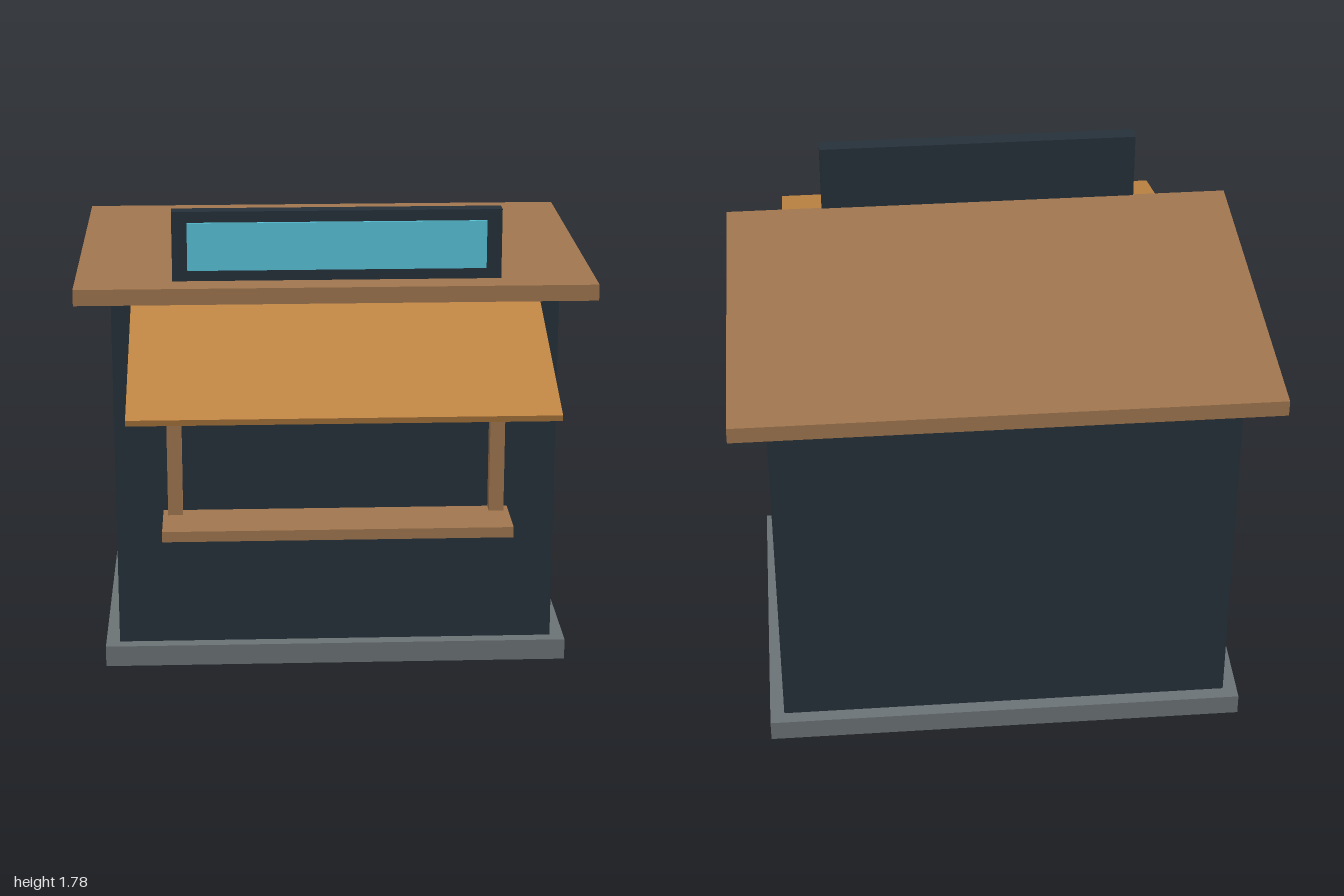
import * as THREE from 'three';

const paint = (name, color) => {
  const m = new THREE.MeshStandardMaterial({ color });
  m.name = name;
  return m;
};

export function createModel() {
  const kiosk = new THREE.Group();
  kiosk.name = 'kiosk';

  const navy = paint('dark navy', 0x25303a);
  const wood = paint('brown wood', 0xa0764f);
  const amber = paint('amber wood', 0xc08543);
  const stone = paint('grey stone', 0x6b7275);
  const cyan = paint('cyan panel', 0x58c4da);

  // Box given by its extents along each axis
  const box = (name, mat, [x0, x1], [y0, y1], [z0, z1]) => {
    const mesh = new THREE.Mesh(new THREE.BoxGeometry(x1 - x0, y1 - y0, z1 - z0), mat);
    mesh.position.set((x0 + x1) / 2, (y0 + y1) / 2, (z0 + z1) / 2);
    mesh.name = name;
    kiosk.add(mesh);
    return mesh;
  };
  const wide = (w) => [-w, w];

  // Building
  box('base', stone, wide(0.877), [0, 0.08], [-0.92, 0.32]);
  box('walls', navy, wide(0.825), [0.08, 1.44], [-0.87, 0.27]);
  box('roof', wood, wide(0.955), [1.44, 1.5], [-1, 0.395]);

  // Serving window with its frame and counter
  box('windowPanel', navy, wide(0.565), [0.62, 1.19], [0.27, 0.278]);
  for (const side of [-1, 1]) {
    const post = box(side > 0 ? 'leftPost' : 'rightPost', wood, [-0.0275, 0.0275], [0.61, 1.25], [0.27, 0.327]);
    post.position.x = side * 0.602;
  }
  box('windowHeader', wood, wide(0.575), [1.195, 1.25], [0.27, 0.327]);
  box('counter', wood, wide(0.648), [0.57, 0.61], [0.27, 0.51]);

  // Raised hatch sloping down to the front
  const hatch = box('hatch', amber, wide(0.75), [1.292, 1.316], [0.251, 1.019]);
  hatch.rotation.x = Math.atan2(0.242, 0.735);

  // Blank sign above the roof edge
  box('signBoard', navy, wide(0.595), [1.53, 1.785], [0.34, 0.4]);
  box('signPanel', cyan, wide(0.54), [1.57, 1.745], [0.4, 0.409]);

  return kiosk;
}
